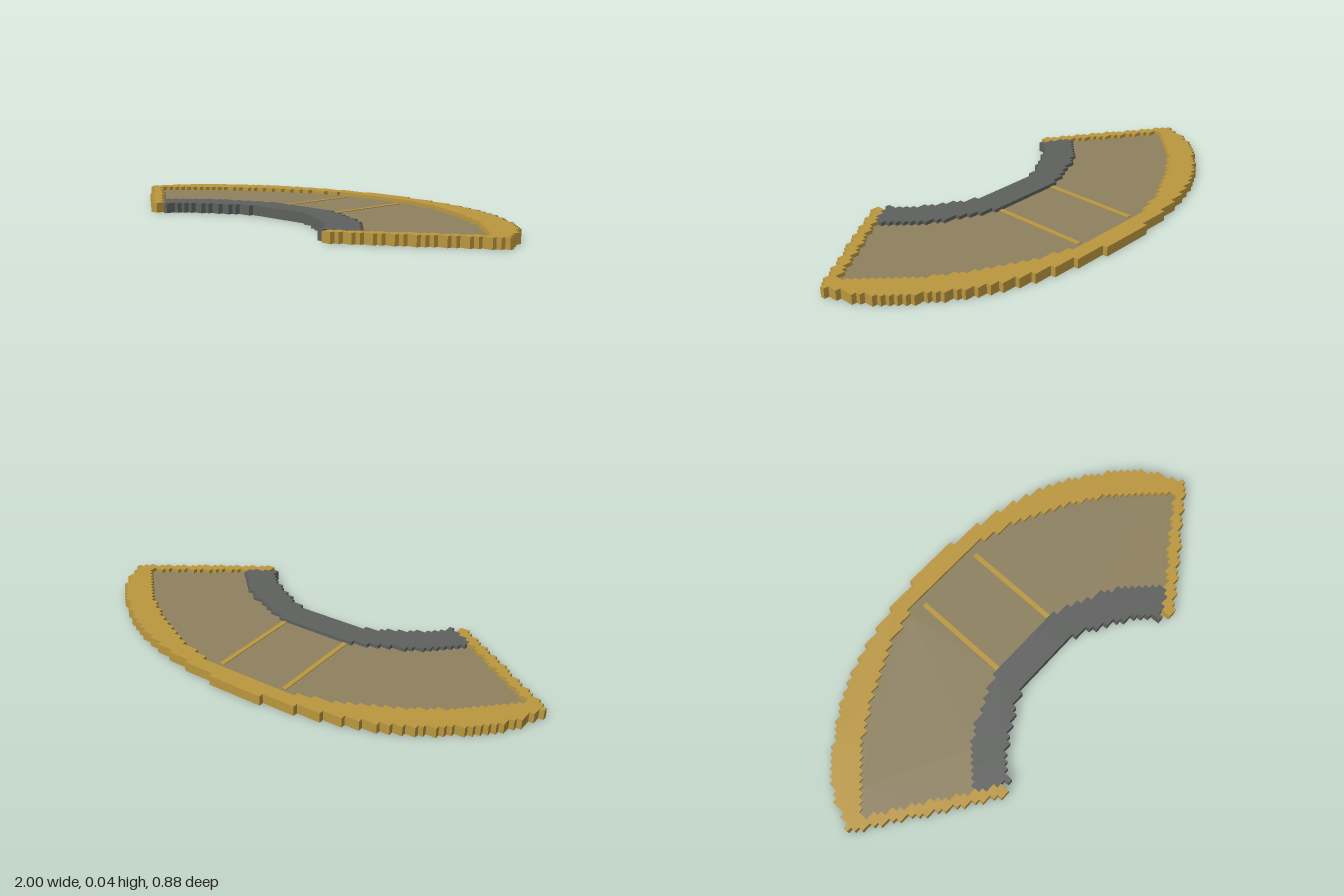
import * as THREE from 'three';

const CELL = 0.02;
const HEIGHT = 0.04;

// Mirrored edge curves as [distance from centre, z]
const OUTER_BACK = [[0, -0.44], [0.07, -0.44], [0.16, -0.425], [0.24, -0.415], [0.37, -0.39], [0.53, -0.34],
  [0.63, -0.295], [0.73, -0.235], [0.83, -0.16], [0.9, -0.09], [0.95, -0.02], [0.97, 0.03], [0.99, 0.08]];
const OUTER_FRONT = [[0.47, 0.44], [0.51, 0.435], [0.97, 0.12], [0.99, 0.1]];
const PANE_BACK = [[0, -0.37], [0.14, -0.365], [0.24, -0.345], [0.34, -0.315], [0.53, -0.23], [0.73, -0.1],
  [0.81, -0.02], [0.89, 0.06], [0.92, 0.1]];
const PANE_SIDE = [[0.46, 0.42], [0.57, 0.345], [0.92, 0.105]];
const SILL_BACK = [[0, 0.08], [0.15, 0.08], [0.235, 0.11], [0.31, 0.14], [0.39, 0.18], [0.46, 0.225],
  [0.51, 0.27], [0.57, 0.33]];
const SILL_FRONT = [[0, 0.2], [0.12, 0.2], [0.2, 0.225], [0.27, 0.26], [0.35, 0.31], [0.41, 0.36],
  [0.45, 0.41], [0.48, 0.405], [0.57, 0.345]];
const PANE_FRONT = [...SILL_BACK, [0.58, 0.338], [0.92, 0.105]];

function sample(curve, x) {
  const d = Math.abs(x);
  if (d <= curve[0][0]) return curve[0][1];
  for (let i = 1; i < curve.length; i++) {
    const [x0, z0] = curve[i - 1], [x1, z1] = curve[i];
    if (d <= x1) return z0 + (z1 - z0) * (d - x0) / (x1 - x0);
  }
  return curve[curve.length - 1][1];
}

// Follow a curve between two x positions as a staircase of square cells
function stairs(curve, from, to) {
  const a = Math.round(from / CELL), b = Math.round(to / CELL), dir = Math.sign(b - a);
  const points = [];
  for (let i = a; i !== b; i += dir) {
    const z = Math.round(sample(curve, (i + dir / 2) * CELL) / CELL) * CELL;
    points.push([i * CELL, z], [(i + dir) * CELL, z]);
  }
  return points;
}

// Extrude a stepped outline upwards between two heights
function slab(name, outline, y0, y1, material) {
  const same = (p, q) => Math.abs(p[0] - q[0]) + Math.abs(p[1] - q[1]) < 1e-6;
  const unique = outline.filter((p, i) => !same(p, outline[(i + 1) % outline.length]));
  const shape = new THREE.Shape(unique.map(([x, z]) => new THREE.Vector2(x, -z)));
  const geometry = new THREE.ExtrudeGeometry(shape, { depth: y1 - y0, bevelEnabled: false });
  geometry.rotateX(-Math.PI / 2).translate(0, y0, 0);
  const mesh = new THREE.Mesh(geometry, material);
  mesh.name = name;
  return mesh;
}

export function createModel() {
  const material = (name, color) => {
    const m = new THREE.MeshStandardMaterial({ color });
    m.name = name;
    return m;
  };
  const gold = material('gold', 0xbb973f);
  const smoke = material('smokyGlass', 0x8e8160);
  const grey = material('darkGrey', 0x5f615f);
  const group = new THREE.Group();
  group.name = 'curvedWindow';

  // Gold rim along the back arc and both slanted sides
  group.add(slab('frame', [
    ...stairs(OUTER_BACK, -1, 1),
    ...stairs(OUTER_FRONT, 1, 0.48),
    ...stairs(PANE_SIDE, 0.48, 0.92),
    ...stairs(PANE_BACK, 0.92, -0.92),
    ...stairs(PANE_SIDE, -0.92, -0.48),
    ...stairs(OUTER_FRONT, -0.48, -1),
  ], 0, HEIGHT, gold));

  // Grey arc along the front
  group.add(slab('sill', [
    ...stairs(SILL_BACK, -0.56, 0.56),
    ...stairs(SILL_FRONT, 0.56, -0.56),
  ], 0, HEIGHT, grey));

  // Recessed pane
  group.add(slab('pane', [
    ...stairs(PANE_BACK, -0.92, 0.92),
    ...stairs(PANE_FRONT, 0.92, -0.92),
  ], 0.015, 0.025, smoke));

  // Two narrow dividers across the pane
  for (const side of [-1, 1]) {
    const divider = new THREE.Mesh(new THREE.BoxGeometry(CELL, 0.016, 0.41), gold);
    divider.name = side > 0 ? 'leftDivider' : 'rightDivider';
    divider.position.set(side * 0.15, HEIGHT / 2, -0.125);
    group.add(divider);
  }
  return group;
}
